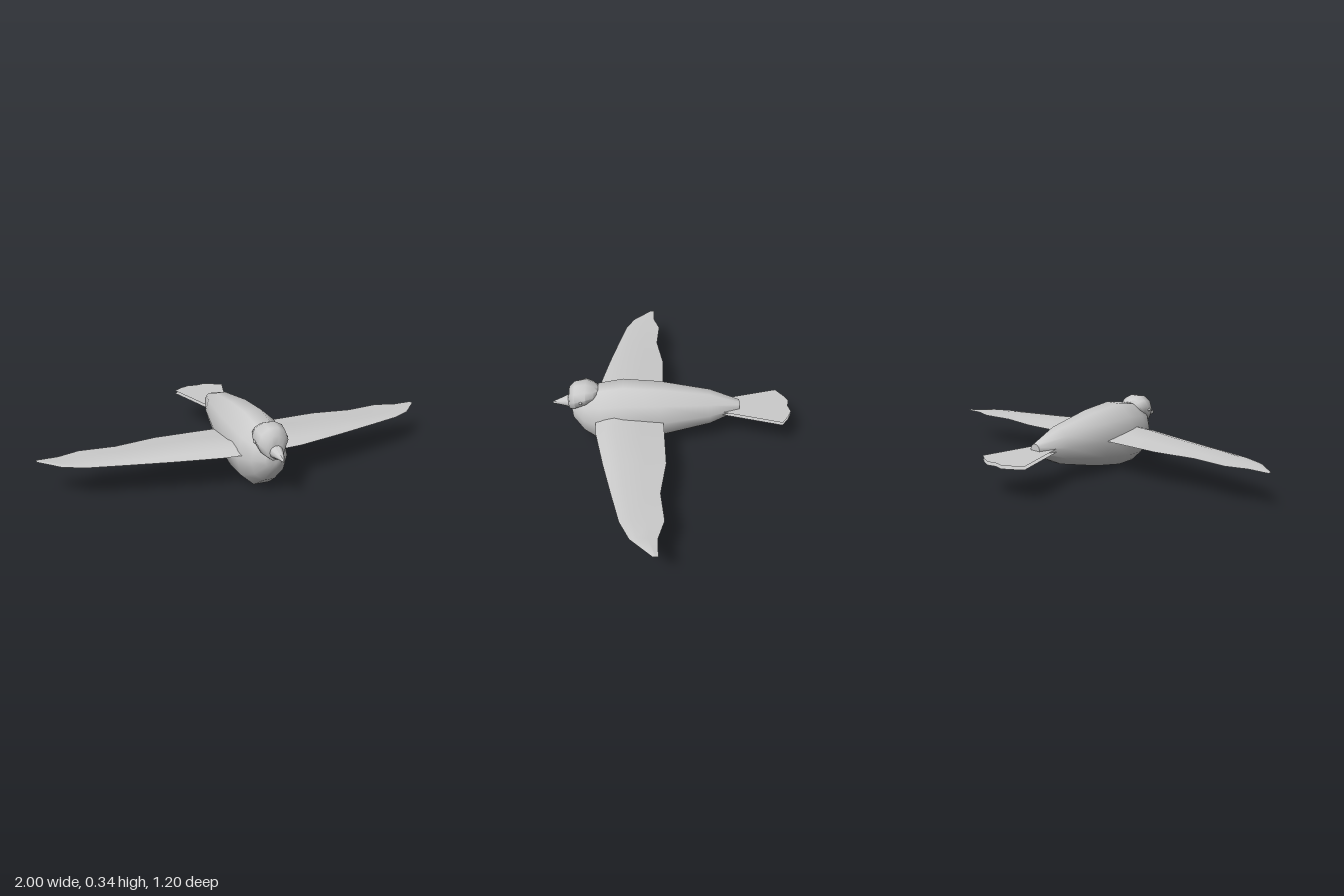
import * as THREE from 'three';
import { toCreasedNormals } from 'three/addons/utils/BufferGeometryUtils.js';

const grey = new THREE.MeshStandardMaterial({ color: 0xcccccc });
const sheet = new THREE.MeshStandardMaterial({ color: 0xcccccc, side: THREE.DoubleSide });

// Skin a list of equal-length rings of [x, y, z] points and close both ends.
function loft(rings, crease) {
  const n = rings[0].length, pos = rings.flat(2), index = [];
  for (let i = 0; i < rings.length - 1; i++) {
    for (let j = 0; j < n; j++) {
      const a = i * n + j, b = i * n + (j + 1) % n;
      index.push(a, a + n, b, b, a + n, b + n);
    }
  }
  const last = (rings.length - 1) * n;
  for (let j = 1; j < n - 1; j++) {
    index.push(0, j, j + 1, last, last + j + 1, last + j);
  }
  const g = new THREE.BufferGeometry();
  g.setAttribute('position', new THREE.Float32BufferAttribute(pos, 3));
  g.setIndex(index);
  return toCreasedNormals(g, crease);
}

// Ten-sided ring from [z, bottom, top, half width], flat on top and bottom.
function ring([z, bottom, top, half]) {
  const points = [], ry = (top - bottom) / 2 / Math.cos(Math.PI / 10);
  for (let j = 0; j < 10; j++) {
    const a = (j - 0.5) * Math.PI / 5;
    points.push([half * Math.sin(a), (top + bottom) / 2 + ry * Math.cos(a), z]);
  }
  return points;
}

function add(group, name, geometry, material = grey) {
  const mesh = new THREE.Mesh(geometry, material);
  mesh.name = name;
  group.add(mesh);
  return mesh;
}

// Wing sections: [x, leading z, trailing z, thickness]
const wingSections = [
  [0.05, 0.39, 0.05, 0.036], [0.2, 0.38, 0.045, 0.032], [0.43, 0.335, 0.04, 0.021],
  [0.63, 0.29, 0.07, 0.013], [0.8, 0.25, 0.055, 0.005], [0.9, 0.205, 0.085, 0.003],
  [1.0, 0.108, 0.085, 0.002],
];

function wing(side) {
  const rings = wingSections.map(([x, lead, trail, t]) => {
    const at = (f, h) => [side * x, 0.175 + h * t, lead + (trail - lead) * f];
    return [at(0, 0), at(0.13, 0.6), at(0.28, 1), at(0.65, 0.5), at(1, 0.04), at(0.5, 0)];
  });
  return loft(side > 0 ? rings : rings.reverse(), 0.7);
}

export function createModel() {
  const bird = new THREE.Group();
  bird.name = 'bird';

  // Body, from the blunt tail end to the breast
  add(bird, 'body', loft([
    [-0.34, 0.16, 0.215, 0.03], [-0.19, 0.09, 0.27, 0.083], [0.06, 0.03, 0.314, 0.128],
    [0.245, 0, 0.33, 0.139], [0.36, 0, 0.312, 0.127], [0.445, 0.06, 0.28, 0.09],
    [0.5, 0.14, 0.235, 0.045], [0.505, 0.17, 0.22, 0.025],
  ].map(ring), 0.95));

  // Head and short beak
  add(bird, 'head', loft([
    [0.37, 0.28, 0.313, 0.04], [0.393, 0.25, 0.328, 0.065], [0.43, 0.23, 0.344, 0.082],
    [0.485, 0.2, 0.335, 0.075], [0.513, 0.19, 0.308, 0.05], [0.52, 0.205, 0.27, 0.033],
  ].map(ring), 0.95));
  add(bird, 'beak', loft([
    [0.505, 0.198, 0.268, 0.036], [0.535, 0.208, 0.258, 0.029],
    [0.565, 0.214, 0.244, 0.018], [0.6, 0.217, 0.23, 0.003],
  ].map(ring), 0.9));

  for (const side of [1, -1]) {
    const label = side > 0 ? 'left' : 'right';
    add(bird, label + 'Wing', wing(side));
    const eye = add(bird, label + 'Eye', new THREE.SphereGeometry(0.008, 8, 6));
    eye.position.set(side * 0.078, 0.27, 0.455);
  }

  // Fanned tail made of two thin sheets
  const fan = new THREE.Shape([
    [-0.058, -0.25], [-0.142, -0.545], [-0.09, -0.58], [-0.045, -0.6], [0, -0.59],
    [0.045, -0.6], [0.09, -0.58], [0.142, -0.545], [0.058, -0.25],
  ].map(([x, z]) => new THREE.Vector2(x, z)));
  const tail = new THREE.Group();
  tail.name = 'tail';
  bird.add(tail);
  for (const [name, y] of [['upperTail', 0.193], ['lowerTail', 0.177]]) {
    const mesh = add(tail, name, new THREE.ShapeGeometry(fan).rotateX(Math.PI / 2), sheet);
    mesh.position.y = y;
    mesh.rotation.x = -0.03;
  }
  return bird;
}
